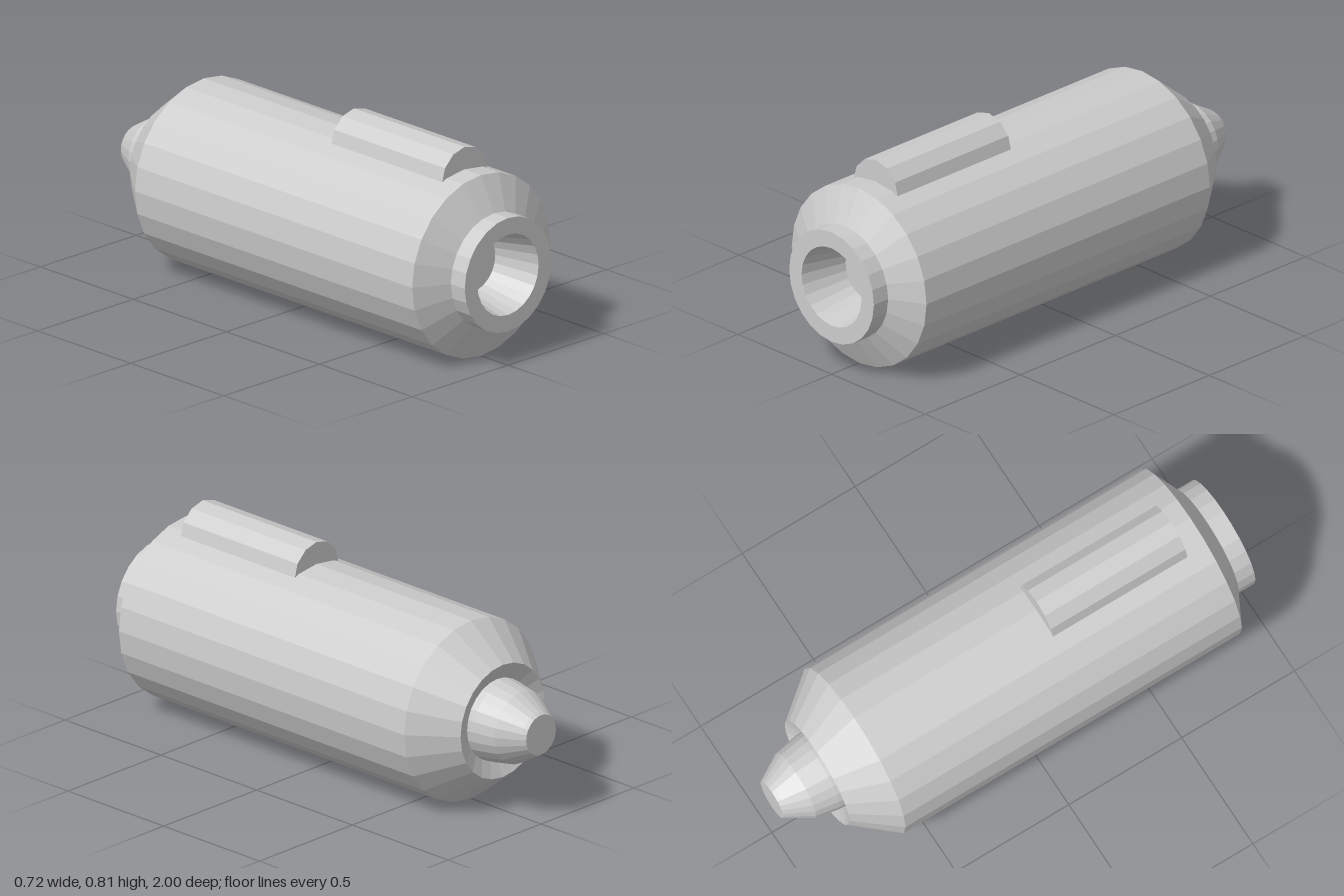
import * as THREE from 'three';

const AXIS_Y = 0.36;

export function createModel() {
  const group = new THREE.Group();
  const material = new THREE.MeshStandardMaterial({ color: 0xcccccc, flatShading: true });

  const add = (name, geometry, y, z = 0) => {
    const mesh = new THREE.Mesh(geometry, material);
    mesh.name = name;
    mesh.position.set(0, y, z);
    group.add(mesh);
  };

  // Turned part: profile of [radius, z] from back to front, spun about the z axis
  const turned = (profile) =>
    new THREE.LatheGeometry(profile.map(([r, z]) => new THREE.Vector2(r, z)), 24).rotateX(Math.PI / 2);

  // Body with dished back, chamfered ends, front collar and tapered socket
  add('body', turned([
    [0, -0.77], [0.16, -0.77], [0.227, -0.8], [0.36, -0.635], [0.36, 0.855],
    [0.226, 0.925], [0.226, 1], [0.16, 1], [0.118, 0.81], [0, 0.81],
  ]), AXIS_Y);

  // Rounded plug at the back
  add('backNozzle', turned([
    [0, -1], [0.08, -1], [0.09, -0.985], [0.143, -0.895], [0.16, -0.8], [0.162, -0.77],
  ]), AXIS_Y);

  // Half-round key along the top, its base sunk in the body
  const arc = new THREE.Shape();
  for (let i = 0; i <= 6; i++) {
    const a = (i * Math.PI) / 6;
    const x = 0.119 * Math.cos(a), y = 0.119 * Math.sin(a);
    if (i === 0) arc.moveTo(x, y);
    else arc.lineTo(x, y);
  }
  add('topKey', new THREE.ExtrudeGeometry(arc, { depth: 0.595, bevelEnabled: false }), 0.69, 0.172);

  return group;
}
